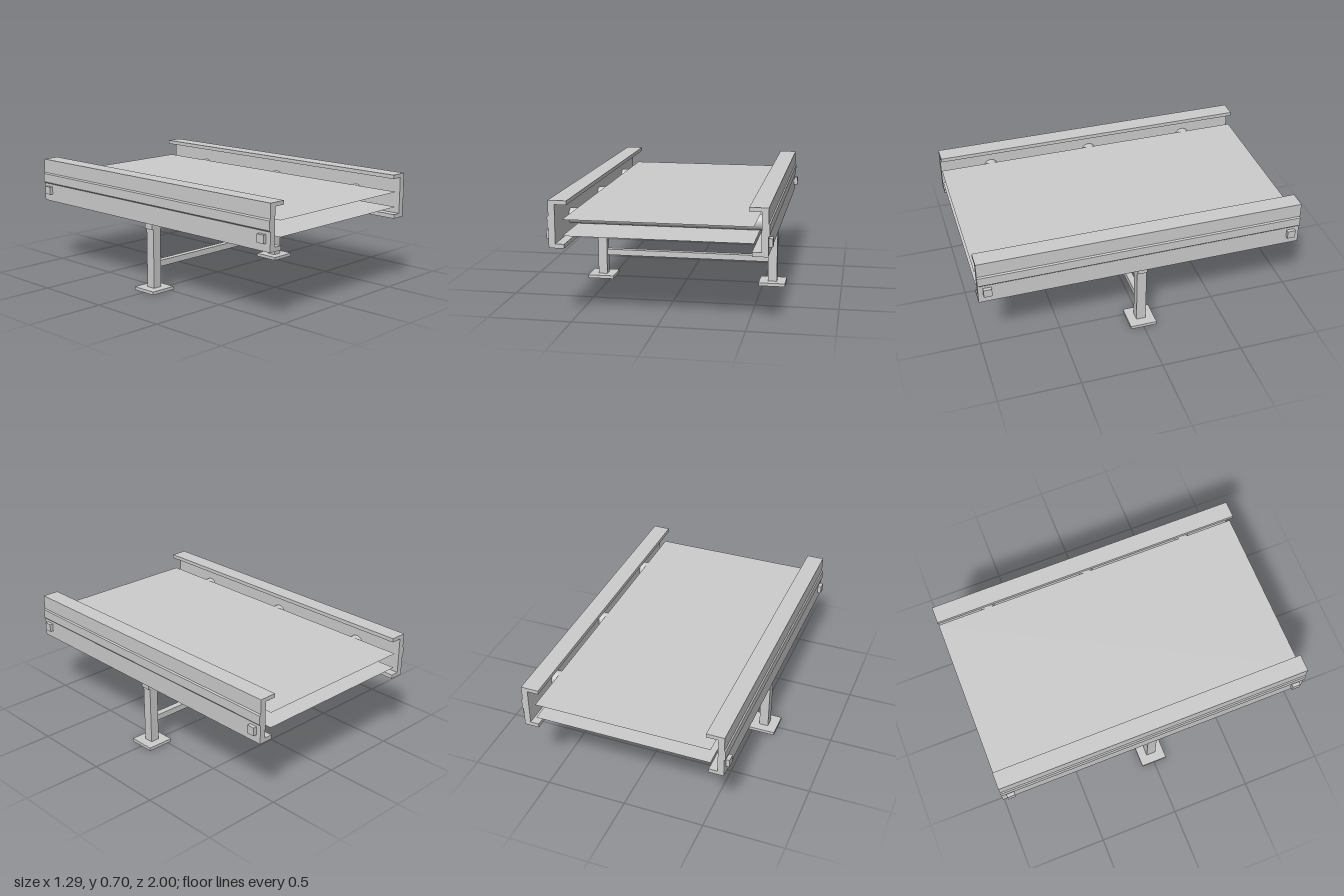
import * as THREE from 'three';

const grey = new THREE.MeshStandardMaterial({ color: 0xcccccc });
grey.name = 'light grey metal';
const sheetGrey = grey.clone();
sheetGrey.name = 'light grey belt';
sheetGrey.side = THREE.DoubleSide;

function add(parent, name, geometry, x = 0, y = 0, z = 0, material = grey) {
  const mesh = new THREE.Mesh(geometry, material);
  mesh.name = name;
  mesh.position.set(x, y, z);
  parent.add(mesh);
  return mesh;
}

// Box given by its lower and upper limits on each axis
function block(parent, name, [x0, x1], [y0, y1], [z0, z1]) {
  return add(parent, name, new THREE.BoxGeometry(x1 - x0, y1 - y0, z1 - z0),
    (x0 + x1) / 2, (y0 + y1) / 2, (z0 + z1) / 2);
}

// C-shaped side rail with a shallow ridge along its outer face
function railGeometry(side) {
  const points = [
    [0.53, 0.43], [0.62, 0.43], [0.62, 0.545], [0.627, 0.553], [0.627, 0.608],
    [0.62, 0.616], [0.62, 0.705], [0.512, 0.705], [0.512, 0.681],
    [0.582, 0.681], [0.582, 0.455], [0.53, 0.455],
  ].map(([x, y]) => new THREE.Vector2(x * side, y));
  const geometry = new THREE.ExtrudeGeometry(new THREE.Shape(points), { depth: 2, bevelEnabled: false });
  return geometry.translate(0, 0, -1);
}

export function createModel() {
  const model = new THREE.Group();
  model.name = 'conveyor';

  // Rails, end adjusters, legs and feet on both sides
  for (const side of [1, -1]) {
    const label = side > 0 ? 'left' : 'right';
    const span = (a, b) => (side > 0 ? [a, b] : [-b, -a]);
    add(model, label + 'Rail', railGeometry(side));
    for (const z of [0.945, -0.945]) {
      block(model, label + 'Adjuster', span(0.62, 0.642), [0.478, 0.528], [z - 0.025, z + 0.025]);
    }
    block(model, label + 'Leg', span(0.53, 0.588), [0.02, 0.39], [-0.03, 0.03]);
    block(model, label + 'Foot', span(0.475, 0.645), [0, 0.02], [-0.083, 0.083]);
  }

  // Stand crossbars
  block(model, 'upperCrossbar', [-0.6, 0.6], [0.39, 0.44], [-0.03, 0.03]);
  block(model, 'lowerCrossbar', [-0.53, 0.53], [0.145, 0.183], [-0.02, 0.02]);

  // Rollers between the rails
  for (const z of [-0.67, 0, 0.67]) {
    add(model, 'roller', new THREE.CylinderGeometry(0.046, 0.046, 1.164, 32).rotateZ(Math.PI / 2), 0, 0.55, z);
  }

  // Upper and lower belt runs
  for (const [name, y] of [['upperBelt', 0.597], ['lowerBelt', 0.503]]) {
    add(model, name, new THREE.PlaneGeometry(1.08, 2).rotateX(-Math.PI / 2), 0, y, 0, sheetGrey);
  }

  return model;
}
